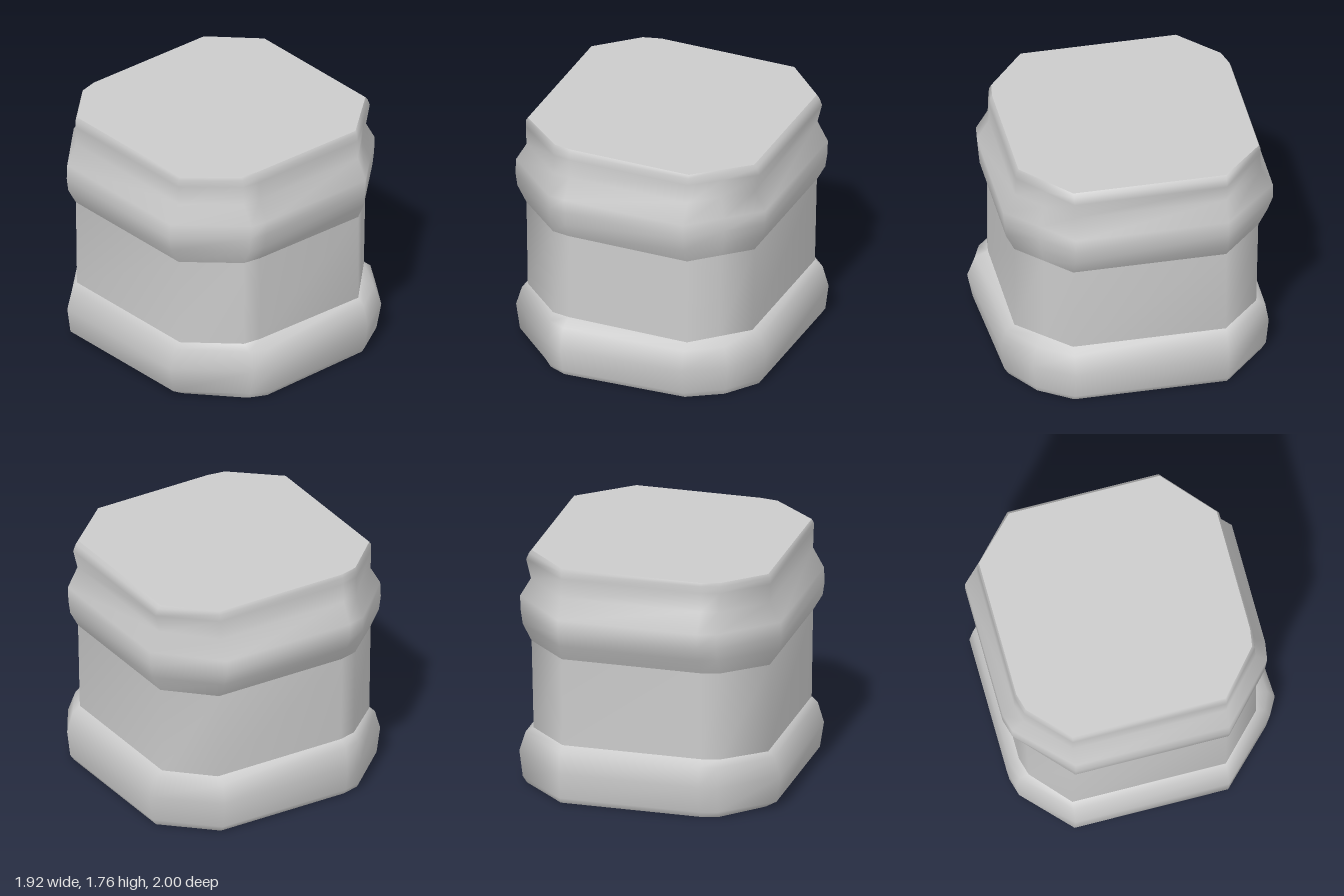
import * as THREE from 'three';

// Rings from the ground up: [y, xRight, xLeft, zBack, zFront, frontBulge]
const baseRings = [
  [0.005, -0.85, 0.90, -0.92, 0.89, 0.04],
  [0.05, -0.93, 0.93, -0.95, 0.92, 0.04],
  [0.24, -0.96, 0.955, -0.97, 0.95, 0.05],
  [0.385, -0.915, 0.91, -0.945, 0.91, 0.035],
  [0.425, -0.87, 0.85, -0.88, 0.85, 0],
];
const shaftRings = [
  [0.425, -0.87, 0.85, -0.88, 0.85, 0],
  [1.08, -0.88, 0.865, -0.895, 0.85, 0],
];
const collarRings = [
  [1.08, -0.88, 0.865, -0.895, 0.85, 0],
  [1.2, -0.95, 0.93, -0.96, 0.91, 0],
  [1.3, -0.965, 0.945, -1.0, 0.92, 0],
  [1.41, -0.96, 0.95, -1.0, 0.93, 0],
  [1.55, -0.88, 0.87, -0.915, 0.845, 0],
  [1.69, -0.885, 0.905, -0.91, 0.84, 0],
  [1.74, -0.885, 0.885, -0.91, 0.835, 0],
  [1.765, -0.87, 0.865, -0.9, 0.82, 0],
];

// Cut-corner square outline, counter-clockwise seen from above
function outline([y, x0, x1, z0, z1, bulge]) {
  return [
    [x1, y, 0.5], [x1, y, -0.6],
    [0.56, y, z0], [-0.46, y, z0], [-0.59, y, z0 + 0.035],
    [x0, y, -0.6], [x0, y, 0.52],
    [-0.54, y, z1 - 0.02], [-0.41, y, z1 + bulge], [0.5, y, z1],
    [(x1 + 0.5) / 2 + bulge, y, (z1 + 0.5) / 2 + bulge],
  ];
}

// Smooth skin through a stack of outlines
function skin(rings, material, name) {
  const loops = rings.map(outline);
  const n = loops[0].length;
  const index = [];
  for (let r = 0; r < loops.length - 1; r++) {
    for (let i = 0; i < n; i++) {
      const a = r * n + i, b = r * n + ((i + 1) % n);
      index.push(a, b, b + n, a, b + n, a + n);
    }
  }
  return makeMesh(loops.flat(2), index, material, name);
}

// Flat lid over one outline
function cap(ring, up, material, name) {
  const loop = outline(ring);
  const index = [];
  for (let i = 1; i < loop.length - 1; i++) {
    index.push(...(up ? [0, i, i + 1] : [0, i + 1, i]));
  }
  return makeMesh(loop.flat(), index, material, name);
}

function makeMesh(positions, index, material, name) {
  const geometry = new THREE.BufferGeometry();
  geometry.setAttribute('position', new THREE.Float32BufferAttribute(positions, 3));
  geometry.setIndex(index);
  geometry.computeVertexNormals();
  const mesh = new THREE.Mesh(geometry, material);
  mesh.name = name;
  return mesh;
}

export function createModel() {
  const group = new THREE.Group();
  group.name = 'stonePedestal';
  const stone = new THREE.MeshStandardMaterial({ color: 0xcccccc });
  group.add(
    cap(baseRings[0], false, stone, 'underside'),
    skin(baseRings, stone, 'baseMoulding'),
    skin(shaftRings, stone, 'shaft'),
    skin(collarRings, stone, 'upperMoulding'),
    cap(collarRings[collarRings.length - 1], true, stone, 'topFace'),
  );
  return group;
}
